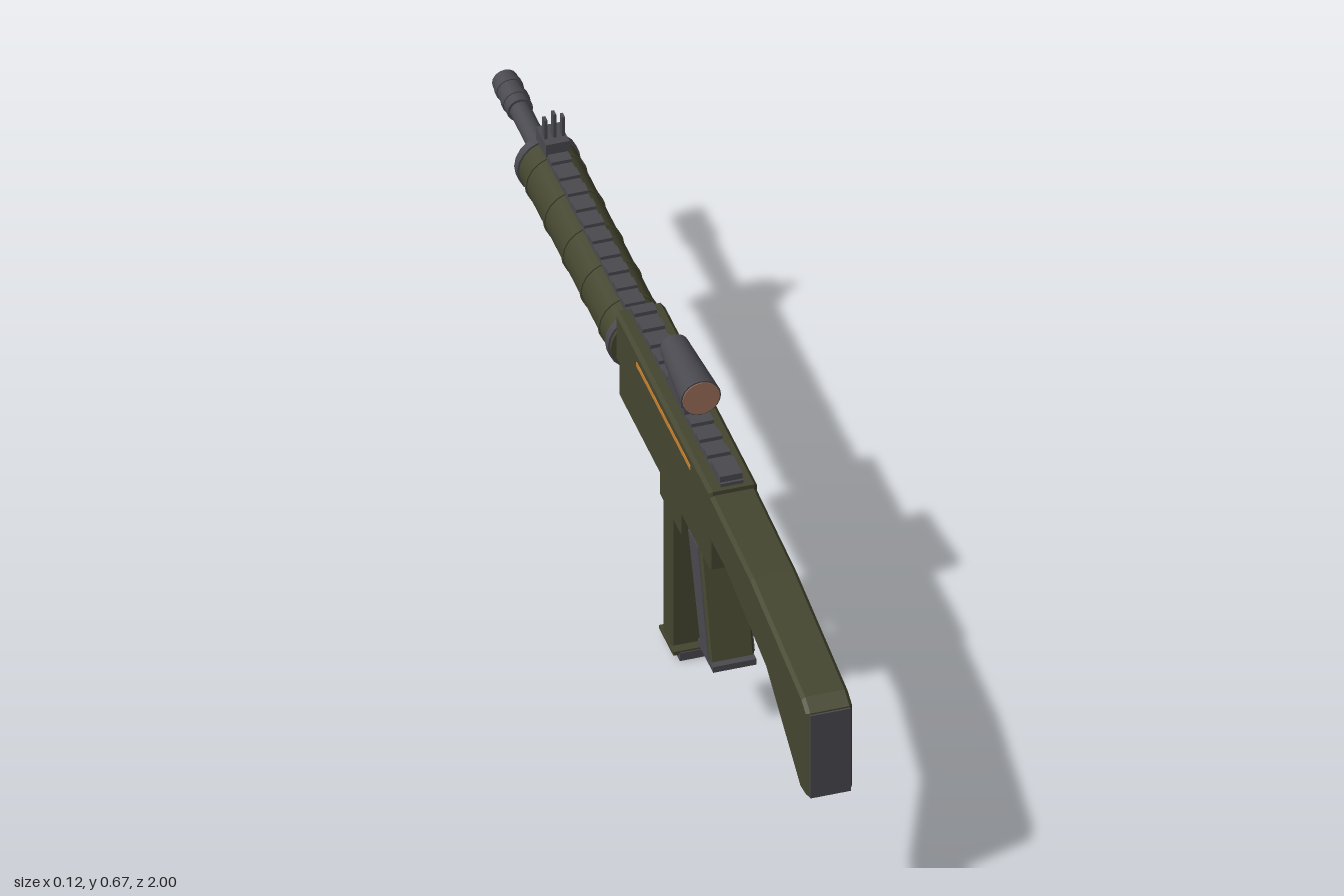
import * as THREE from 'three';

const mat = (name, color, flatShading = false) => {
  const m = new THREE.MeshStandardMaterial({ color, flatShading });
  m.name = name;
  return m;
};

export function createModel() {
  const olive = mat('olive', 0x45462f);
  const metal = mat('gunmetal', 0x4a494f);
  const lens = mat('amberLens', 0x9c6f58);
  const orange = mat('orangeMark', 0xc9802c);
  const root = new THREE.Group();

  const add = (name, geo, material, x = 0, y = 0, z = 0) => {
    const m = new THREE.Mesh(geo, material);
    m.name = name;
    m.position.set(x, y, z);
    root.add(m);
    return m;
  };
  // box given by width and its y and z ranges
  const box = (name, material, w, y0, y1, z0, z1, x = 0) =>
    add(name, new THREE.BoxGeometry(w, y1 - y0, z1 - z0), material, x, (y0 + y1) / 2, (z0 + z1) / 2);
  // side outline of [z, y] points, extruded across x with small bevels
  const slab = (name, material, pts, w, bevel = 0.007, x = 0) => {
    const shape = new THREE.Shape(pts.map(([z, y]) => new THREE.Vector2(z, y)));
    const geo = new THREE.ExtrudeGeometry(shape, {
      depth: w - 2 * bevel, bevelEnabled: bevel > 0, bevelSize: bevel,
      bevelThickness: bevel, bevelOffset: -bevel, bevelSegments: 1,
    });
    geo.translate(0, 0, -(w - 2 * bevel) / 2);
    geo.rotateY(-Math.PI / 2);
    return add(name, geo, material, x);
  };
  // round part along z, from z0 (radius r0) to z1 (radius r1)
  const tube = (name, material, r0, r1, z0, z1, y, sides = 20) => {
    const geo = new THREE.CylinderGeometry(r1, r0, z1 - z0, sides);
    geo.rotateX(Math.PI / 2);
    return add(name, geo, material, 0, y, (z0 + z1) / 2);
  };

  // stock and butt pad
  slab('stock', olive, [[0.39, 0.455], [0.5, 0.455], [0.745, 0.41], [0.955, 0.285],
    [0.996, 0.29], [0.996, 0.487], [0.965, 0.503], [0.65, 0.55], [0.39, 0.562]], 0.09);
  box('buttPad', metal, 0.078, 0.292, 0.484, 0.99, 1.0);

  // receiver
  slab('receiver', olive, [[0.405, 0.46], [0.405, 0.57], [-0.172, 0.57], [-0.172, 0.46]], 0.094);
  slab('lowerReceiver', olive, [[0.403, 0.388], [0.403, 0.48], [-0.153, 0.48], [-0.153, 0.388]], 0.092, 0.004);
  box('magazineWell', olive, 0.086, 0.335, 0.4, 0.09, 0.22);
  box('ejectionPort', metal, 0.008, 0.5, 0.55, -0.015, 0.19, 0.047);
  for (const s of [-1, 1]) box('sideStripe', orange, 0.004, 0.539, 0.549, -0.04, 0.29, s * 0.0465);

  // top rail with teeth on receiver and handguard
  box('receiverRail', metal, 0.044, 0.565, 0.577, -0.165, 0.395);
  for (let i = 0; i < 11; i++) box('railTooth', metal, 0.044, 0.576, 0.585, -0.16 + i * 0.05, -0.135 + i * 0.05);
  box('handguardRail', metal, 0.04, 0.53, 0.552, -0.735, -0.185);
  for (let i = 0; i < 11; i++) box('railTooth', metal, 0.04, 0.55, 0.559, -0.725 + i * 0.05, -0.7 + i * 0.05);
  box('rearSight', metal, 0.044, 0.576, 0.59, 0.335, 0.39);

  // handguard with raised bands, end collars
  tube('handguard', olive, 0.058, 0.058, -0.75, -0.165, 0.49);
  for (let i = 0; i < 5; i++) tube('handguardBand', olive, 0.0605, 0.0605, -0.69 + i * 0.112, -0.68 + i * 0.112, 0.49);
  for (const z of [-0.747, -0.19]) tube('collar', metal, 0.062, 0.062, z, z + 0.018, 0.49);

  // barrel and muzzle
  tube('barrel', metal, 0.02, 0.02, -0.92, -0.74, 0.49, 16);
  tube('muzzle', metal, 0.025, 0.025, -1.0, -0.905, 0.49, 16);
  for (const z of [-0.975, -0.935]) tube('muzzleRing', metal, 0.027, 0.027, z - 0.008, z + 0.008, 0.49, 16);

  // front sight
  box('frontSightBase', metal, 0.046, 0.554, 0.582, -0.735, -0.675);
  for (const x of [-0.017, 0, 0.017]) box('frontSightPost', metal, 0.006, 0.58, x ? 0.625 : 0.635, -0.707, -0.693, x);

  // scope on its mount
  box('scopeClamp', metal, 0.046, 0.576, 0.588, 0.07, 0.175);
  box('scopeMount', metal, 0.05, 0.585, 0.61, 0.082, 0.162);
  tube('scope', metal, 0.028, 0.039, 0.04, 0.204, 0.633, 20);
  tube('scopeLens', lens, 0.036, 0.036, 0.2, 0.206, 0.633, 20);

  // pistol grip with side panels and foot
  const grip = [[0.257, 0.395], [0.34, 0.165], [0.398, 0.165], [0.332, 0.395]];
  slab('grip', olive, grip, 0.086, 0.004);
  const panel = [[0.268, 0.385], [0.345, 0.17], [0.391, 0.17], [0.327, 0.385]];
  for (const s of [-1, 1]) slab('gripPanel', metal, panel, 0.006, 0, s * 0.0425);
  box('gripFoot', metal, 0.084, 0.154, 0.167, 0.32, 0.412);

  // trigger parts
  box('triggerGuard', metal, 0.03, 0.298, 0.308, 0.14, 0.29);
  box('trigger', metal, 0.008, 0.21, 0.35, 0.307, 0.313);

  // magazine and base plate
  slab('magazine', olive, [[0.148, 0.015], [0.148, 0.345], [0.096, 0.345], [0.098, 0.015]], 0.08, 0.004);
  box('magazineBase', olive, 0.084, 0.014, 0.022, 0.08, 0.167);
  box('magazinePlate', metal, 0.06, 0, 0.018, 0.08, 0.169);

  return root;
}
